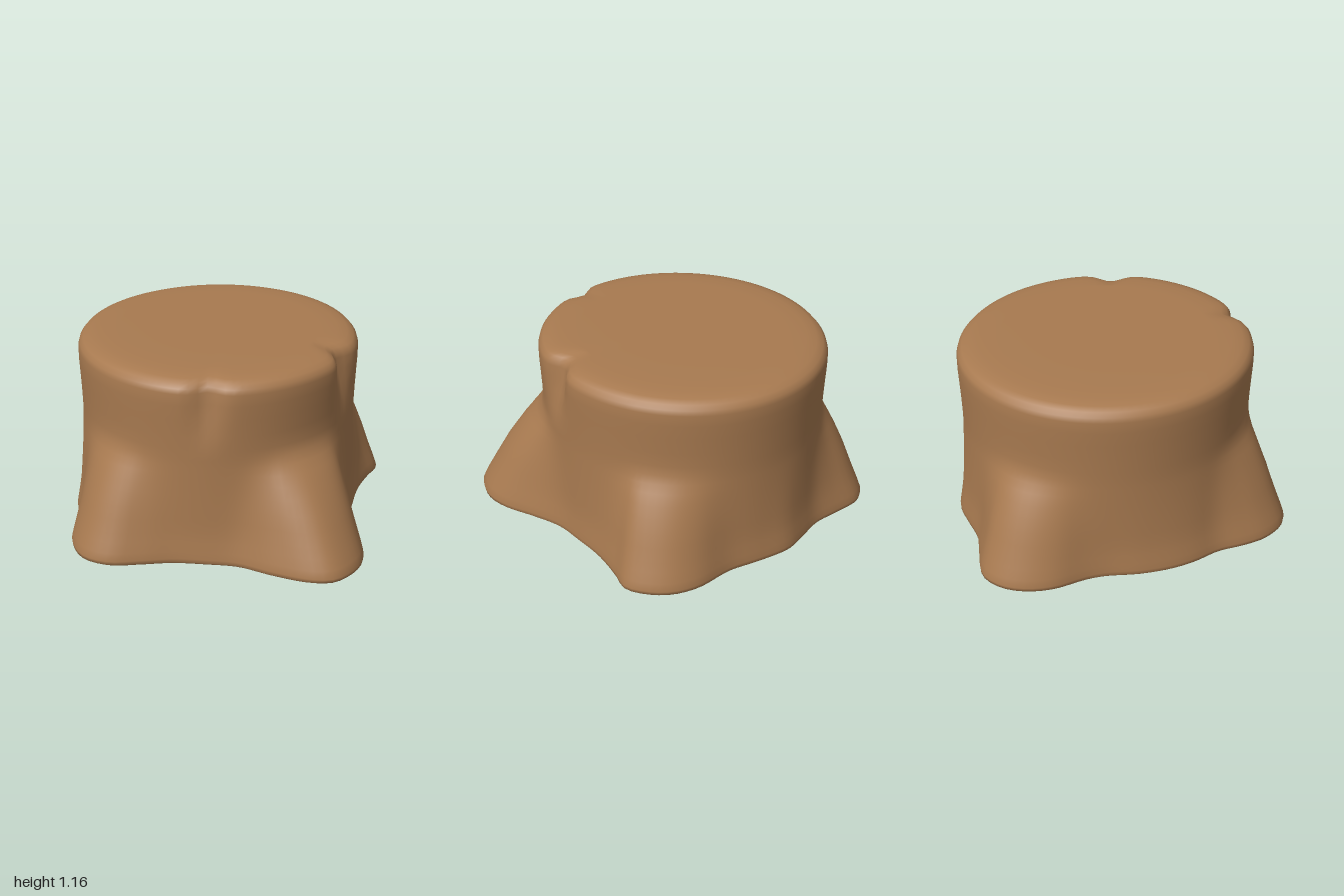
import * as THREE from 'three';

// Trunk centre and radii
const CX = -0.06, CZ = -0.05, RX = 0.86, RZ = 0.9, TOP = 1.165;
const COLUMNS = 128;

// Root outline on the ground as x, z pairs, from the front round by the left
const OUTLINE = [
  [0, 0.86], [0.18, 0.865], [0.4, 0.94], [0.63, 0.99], [0.75, 0.97], [0.84, 0.88], [0.9, 0.75], [0.9, 0.6],
  [0.85, 0.42], [0.8, 0.2], [0.815, 0], [0.84, -0.2], [0.9, -0.4], [0.95, -0.53], [0.9, -0.66], [0.8, -0.77],
  [0.65, -0.84], [0.4, -0.87], [0.2, -0.94], [0, -0.995], [-0.15, -0.98], [-0.33, -0.955], [-0.5, -0.98],
  [-0.7, -1], [-0.82, -0.93], [-0.9, -0.8], [-0.93, -0.63], [-0.9, -0.42], [-0.9, -0.3], [-0.94, -0.1],
  [-0.95, 0.1], [-0.93, 0.25], [-0.88, 0.42], [-0.87, 0.6], [-0.84, 0.75], [-0.74, 0.9], [-0.58, 0.955],
  [-0.4, 0.92], [-0.2, 0.87],
];

// Height, root strength, trunk radius factor
const ROWS = [
  [0, 0.95, 0.99], [0.012, 0.99, 1], [0.035, 1, 1], [0.08, 0.96, 0.995], [0.14, 0.89, 0.99], [0.2, 0.82, 0.985],
  [0.28, 0.71, 0.985], [0.36, 0.6, 0.985], [0.44, 0.47, 0.985], [0.51, 0.35, 0.985], [0.57, 0.23, 0.985],
  [0.62, 0.12, 0.985], [0.67, 0.04, 0.985], [0.73, 0, 0.987], [0.82, 0, 0.99], [0.92, 0, 0.995], [1.01, 0, 1],
  [1.08, 0, 1], [1.11, 0, 0.99], [1.135, 0, 0.965], [1.15, 0, 0.92], [1.16, 0, 0.85], [TOP, 0, 0.72], [TOP, 0, 0.4],
];

// Notches worn into the upper rim: angle from the front, depth, angular width
const NOTCHES = [[0.07, 0.06, 0.09], [1.24, 0.09, 0.12]];

function surfaceRadius(angle, groundRadius, [y, rootStrength, factor]) {
  const trunk = 1 / Math.hypot(Math.sin(angle) / RX, Math.cos(angle) / RZ);
  const root = groundRadius - trunk;
  // Roots narrow as they climb the trunk
  const narrowing = root > 0 ? Math.pow(Math.min(1, root / 0.3), 0.6 * (1 - rootStrength)) : 1;
  let radius = trunk * factor + root * rootStrength * narrowing;
  const rise = THREE.MathUtils.smoothstep(y, 0.7, 1.1);
  const rim = factor > 0.8 ? 1 : 0;
  for (const [at, depth, width] of NOTCHES) {
    radius -= depth * rise * rim * Math.exp(-(((angle - at) / width) ** 2));
  }
  return radius;
}

function stumpGeometry() {
  const curve = new THREE.CatmullRomCurve3(OUTLINE.map(([x, z]) => new THREE.Vector3(x, 0, z)), true);
  const ground = curve.getSpacedPoints(COLUMNS).slice(0, COLUMNS);
  const positions = [], indices = [];

  const addRing = (row) => {
    for (const p of ground) {
      const dx = p.x - CX, dz = p.z - CZ;
      const angle = Math.atan2(dx, dz);
      const r = surfaceRadius(angle, Math.hypot(dx, dz), row);
      positions.push(CX + Math.sin(angle) * r, row[0], CZ + Math.cos(angle) * r);
    }
  };

  // Side and rounded rim
  ROWS.forEach(addRing);
  for (let j = 0; j < ROWS.length - 1; j++) {
    for (let i = 0; i < COLUMNS; i++) {
      const n = (i + 1) % COLUMNS;
      const a = j * COLUMNS + i, b = j * COLUMNS + n;
      indices.push(a, b, b + COLUMNS, a, b + COLUMNS, a + COLUMNS);
    }
  }

  // Cut top, closed to its centre
  const topRing = (ROWS.length - 1) * COLUMNS;
  const topCentre = positions.length / 3;
  positions.push(CX, TOP, CZ);
  for (let i = 0; i < COLUMNS; i++) indices.push(topRing + i, topRing + ((i + 1) % COLUMNS), topCentre);

  // Flat underside with its own ring, for a crisp edge
  const baseRing = positions.length / 3;
  addRing(ROWS[0]);
  const baseCentre = positions.length / 3;
  positions.push(CX, 0, CZ);
  for (let i = 0; i < COLUMNS; i++) indices.push(baseRing + ((i + 1) % COLUMNS), baseRing + i, baseCentre);

  const geometry = new THREE.BufferGeometry();
  geometry.setAttribute('position', new THREE.Float32BufferAttribute(positions, 3));
  geometry.setIndex(indices);
  geometry.computeVertexNormals();
  return geometry;
}

export function createModel() {
  const group = new THREE.Group();
  group.name = 'treeStump';
  const wood = new THREE.MeshStandardMaterial({ color: 0xa87a50 });
  wood.name = 'brown wood';
  const stump = new THREE.Mesh(stumpGeometry(), wood);
  stump.name = 'trunkAndRoots';
  group.add(stump);
  return group;
}
